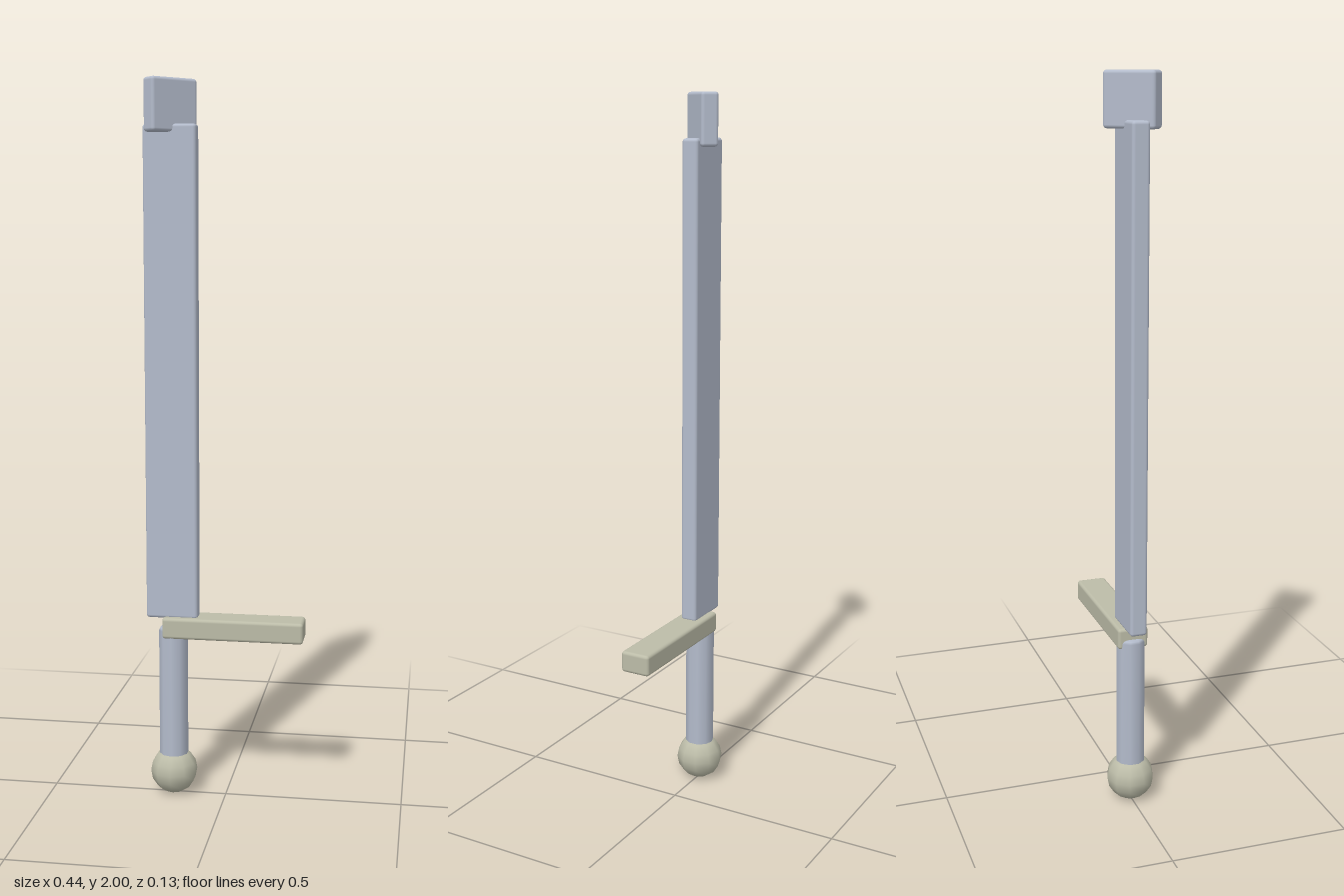
import * as THREE from 'three';
import { RoundedBoxGeometry } from 'three/addons/geometries/RoundedBoxGeometry.js';

const AXIS_X = -0.15; // x of the blade and grip axis

export function createModel() {
  const group = new THREE.Group();
  const steel = new THREE.MeshStandardMaterial({ name: 'blue grey steel', color: 0xb4bccc });
  const brass = new THREE.MeshStandardMaterial({ name: 'pale olive', color: 0xbcbca8 });

  const add = (name, geometry, material, x, y) => {
    const mesh = new THREE.Mesh(geometry, material);
    mesh.name = name;
    mesh.position.set(x, y, 0);
    group.add(mesh);
    return mesh;
  };
  const slab = (w, h, d) => new RoundedBoxGeometry(w, h, d, 2, 0.009);

  // Flat blade, with a short tip block turned 45 degrees about its axis
  add('blade', slab(0.146, 1.36, 0.048), steel, AXIS_X, 1.2);
  add('bladeTip', slab(0.146, 0.142, 0.048), steel, AXIS_X, 1.929).rotation.y = Math.PI / 4;

  // One-sided crossguard
  add('crossguard', slab(0.397, 0.06, 0.086), brass, 0.0235, 0.495);

  // Ten-sided grip with softened ends
  const gripProfile = [
    [0, 0.09], [0.032, 0.09], [0.038, 0.093], [0.041, 0.1],
    [0.041, 0.482], [0.038, 0.489], [0.032, 0.492], [0, 0.492],
  ].map(([r, y]) => new THREE.Vector2(r, y));
  add('grip', new THREE.LatheGeometry(gripProfile, 10), steel, AXIS_X, 0);

  // Ball pommel
  const pommel = add('pommel', new THREE.SphereGeometry(0.067, 10, 8), brass, AXIS_X, 0.067);
  pommel.rotation.y = Math.PI / 2;

  return group;
}
